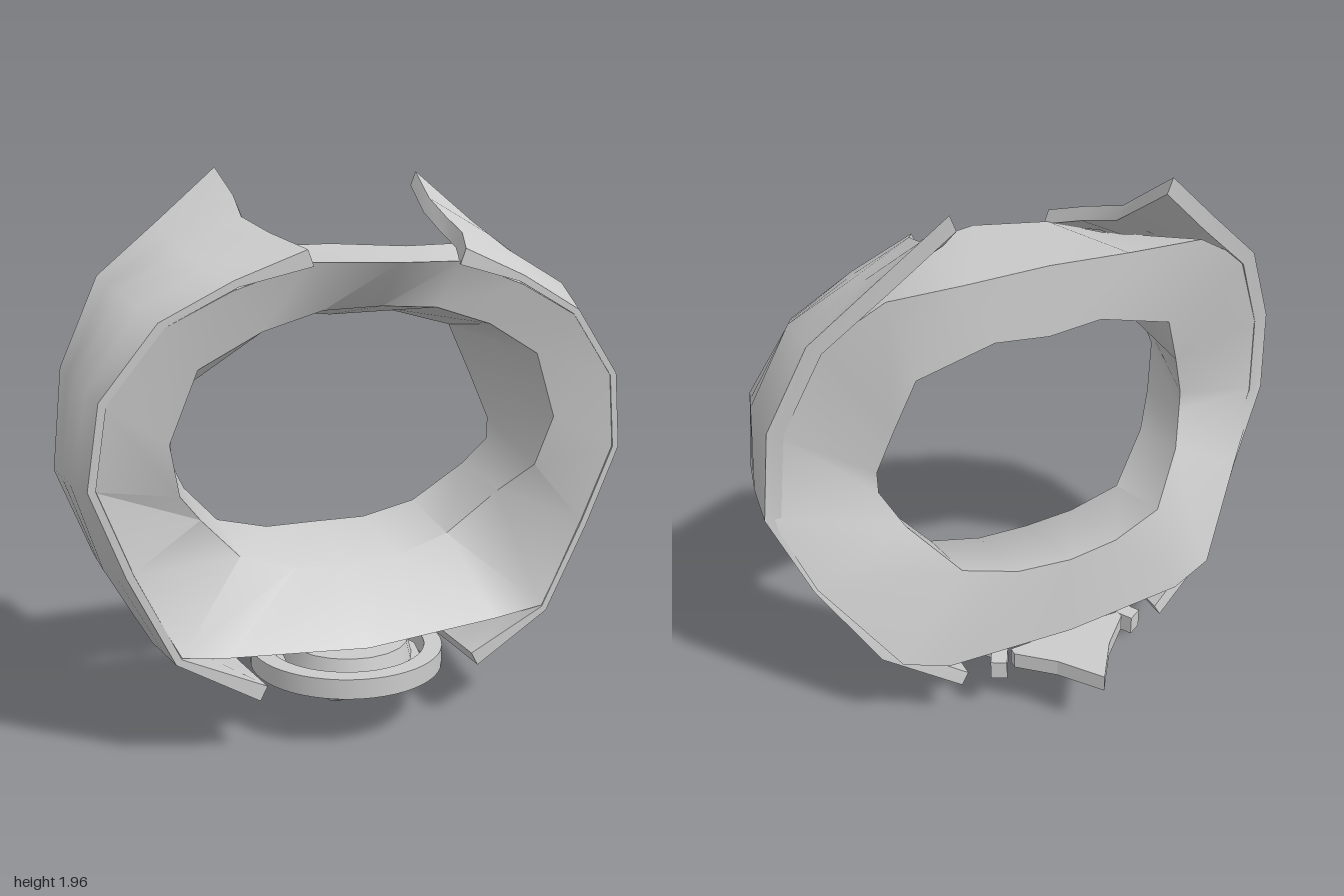
import * as THREE from 'three';
import { toCreasedNormals } from 'three/addons/utils/BufferGeometryUtils.js';

const material = new THREE.MeshStandardMaterial({ color: 0xcccccc });

// Skin equal-length cross-section loops; 'ring' joins the last to the first, otherwise ends are capped
function loft(sections, ring = false) {
  const n = sections[0].length, m = sections.length, pts = sections.flat(), tris = [];
  for (let i = 0; i < (ring ? m : m - 1); i++) {
    const a = i * n, b = ((i + 1) % m) * n;
    for (let j = 0; j < n; j++) {
      const k = (j + 1) % n;
      tris.push([a + j, a + k, b + k], [a + j, b + k, b + j]);
    }
  }
  if (!ring) {
    // Cap the ends as strips between opposite points, so curved ends stay clean
    const e = (m - 1) * n;
    for (let j = 0; j < n / 2 - 1; j++) {
      const p = n - 1 - j, q = n - 2 - j;
      tris.push([j, q, j + 1], [j, p, q], [e + j, e + j + 1, e + q], [e + j, e + q, e + p]);
    }
  }
  // Signed volume tells whether the skin faces outward
  const v = pts.map((p) => new THREE.Vector3(...p));
  const volume = tris.reduce((s, [a, b, c]) => s + v[a].dot(v[b].clone().cross(v[c])), 0);
  const geo = new THREE.BufferGeometry();
  geo.setAttribute('position', new THREE.Float32BufferAttribute(pts.flat(), 3));
  geo.setIndex(tris.flatMap(([a, b, c]) => (volume < 0 ? [a, c, b] : [a, b, c])));
  return toCreasedNormals(geo, 0.85);
}

const mirrored = (sections) => sections.map((s) => s.map(([x, y, z]) => [-x, y, z]));
const middle = (a, b) => a.map((v, i) => (v + b[i]) / 2);

export function createModel() {
  const model = new THREE.Group();
  const add = (name, geo) => {
    const mesh = new THREE.Mesh(geo, material);
    mesh.name = name;
    model.add(mesh);
    return mesh;
  };

  // Main band, top to bottom along one side: outer front, outer back, inner back, inner front
  const half = [
    [[0, 1.65, 0.51], [0, 1.70, -0.08], [0, 1.45, -0.08], [0, 1.51, 0.38]],
    [[0.26, 1.65, 0.42], [0.3, 1.69, -0.08], [0.2, 1.47, -0.08], [0.2, 1.50, 0.37]],
    [[0.50, 1.57, 0.41], [0.57, 1.70, -0.11], [0.48, 1.40, -0.08], [0.4, 1.44, 0.37]],
    [[0.72, 1.46, 0.398], [0.79, 1.58, -0.085], [0.55, 1.22, -0.04], [0.6, 1.33, 0.35]],
    [[0.895, 1.24, 0.378], [0.94, 1.30, -0.028], [0.61, 1.05, 0], [0.69, 1.10, 0.33]],
    [[0.935, 0.98, 0.358], [0.98, 0.98, 0.002], [0.61, 0.97, 0], [0.65, 0.92, 0.28]],
    [[0.825, 0.70, 0.338], [0.87, 0.68, -0.045], [0.55, 0.86, -0.08], [0.56, 0.81, 0.18]],
    [[0.67, 0.40, 0.328], [0.645, 0.385, -0.215], [0.4, 0.70, -0.2], [0.4, 0.64, 0.09]],
    [[0.50, 0.36, 0.29], [0.48, 0.33, -0.24], [0.2, 0.645, -0.23], [0.2, 0.58, 0.1]],
    [[0, 0.32, 0.29], [0, 0.32, -0.26], [0, 0.64, -0.25], [0, 0.57, 0.1]],
  ];
  const band = [...half, ...mirrored(half.slice(1, -1)).reverse()];
  add('band', loft(band, true));

  // Curved side shells rising into horns: back, middle and front points of the outer skin
  const outer = [
    [[0.43, 0.20, -0.22], [0.43, 0.20, 0.05], [0.41, 0.21, 0.33]],
    [[0.70, 0.38, -0.15], [0.72, 0.38, 0.1], [0.69, 0.38, 0.33]],
    [[0.88, 0.67, -0.035], [0.88, 0.67, 0.15], [0.84, 0.69, 0.34]],
    [[1.00, 0.98, 0], [0.98, 0.98, 0.2], [0.95, 0.98, 0.36]],
    [[0.96, 1.31, -0.03], [0.95, 1.29, 0.2], [0.91, 1.25, 0.38]],
    [[0.82, 1.60, -0.09], [0.80, 1.56, 0.18], [0.73, 1.48, 0.4]],
    [[0.60, 1.78, -0.135], [0.59, 1.68, 0.15], [0.50, 1.60, 0.415]],
  ].map(([a, b, c]) => [a, middle(a, b), b, middle(b, c), c]);
  // Swept inner edge of the horn
  outer.push([[0.385, 1.96, -0.185], [0.365, 1.86, -0.03], [0.375, 1.79, 0.09], [0.34, 1.74, 0.27], [0.27, 1.69, 0.43]]);
  const inward = ([x, y, z], t) => {
    const d = Math.hypot(x, y - 0.98);
    return [x * (1 - t / d), y - ((y - 0.98) * t) / d, z];
  };
  // Shells thin out toward the front rim so they run into the band
  const shell = outer.map((s, i) => {
    const open = i === 0 || i === outer.length - 1;
    const under = s.map((p, k) => inward(p, open || k < 4 ? 0.055 : 0.025));
    return [...s, ...under.reverse()];
  });
  add('leftShell', loft(shell));
  add('rightShell', loft(mirrored(shell)));

  // Open collar under the band
  const arc = new THREE.Shape();
  arc.absarc(0, 0, 0.35, -Math.PI / 4, Math.PI * 1.25, false);
  arc.absarc(0, 0, 0.285, Math.PI * 1.25, -Math.PI / 4, true);
  const collarGeo = new THREE.ExtrudeGeometry(arc, { depth: 0.07, bevelEnabled: false, curveSegments: 20 });
  collarGeo.rotateX(Math.PI / 2).translate(0, 0.27, 0.08);
  add('collar', toCreasedNormals(collarGeo, 0.6));

  // Tabs closing the two collar ends
  for (const side of [-1, 1]) {
    const tab = add(side > 0 ? 'leftTab' : 'rightTab', new THREE.BoxGeometry(0.06, 0.075, 0.1));
    tab.position.set(side * 0.27, 0.235, -0.205);
    tab.rotation.y = side * -0.5;
  }

  // Seat disc inside the collar
  const seat = add('seat', new THREE.CylinderGeometry(0.22, 0.24, 0.08, 20));
  seat.position.set(0, 0.253, 0.09);

  // Hanging pendant with a hooked tip: height, back z, front z, half width
  const pendant = [
    [0.23, -0.17, 0.36, 0.27], [0.195, -0.13, 0.32, 0.23], [0.13, -0.08, 0.25, 0.13],
    [0.09, -0.06, 0.14, 0.1], [0.03, -0.1, 0.06, 0.06], [0, -0.06, 0, 0.03],
  ].map(([y, back, front, w]) => Array.from({ length: 12 }, (_, k) => {
    const a = (k / 12) * Math.PI * 2;
    return [Math.cos(a) * w, y, (back + front) / 2 + (Math.sin(a) * (front - back)) / 2];
  }));
  add('pendant', loft(pendant));
  const hook = add('pendantHook', new THREE.ConeGeometry(0.045, 0.13, 8));
  hook.position.set(0, 0.037, -0.085);
  hook.rotation.x = -1.9;

  // Flat pointed spike at the back
  const spike = new THREE.Shape([[0.23, 0.22], [0.23, 0.25], [0.11, 0.36], [0, 0.51],
    [-0.11, 0.36], [-0.23, 0.25], [-0.23, 0.22]].map(([x, y]) => new THREE.Vector2(x, y)));
  const spikeGeo = new THREE.ExtrudeGeometry(spike, { depth: 0.065, bevelEnabled: false });
  spikeGeo.rotateX(-Math.PI / 2).translate(0, 0.225, 0);
  add('backSpike', spikeGeo);

  return model;
}
